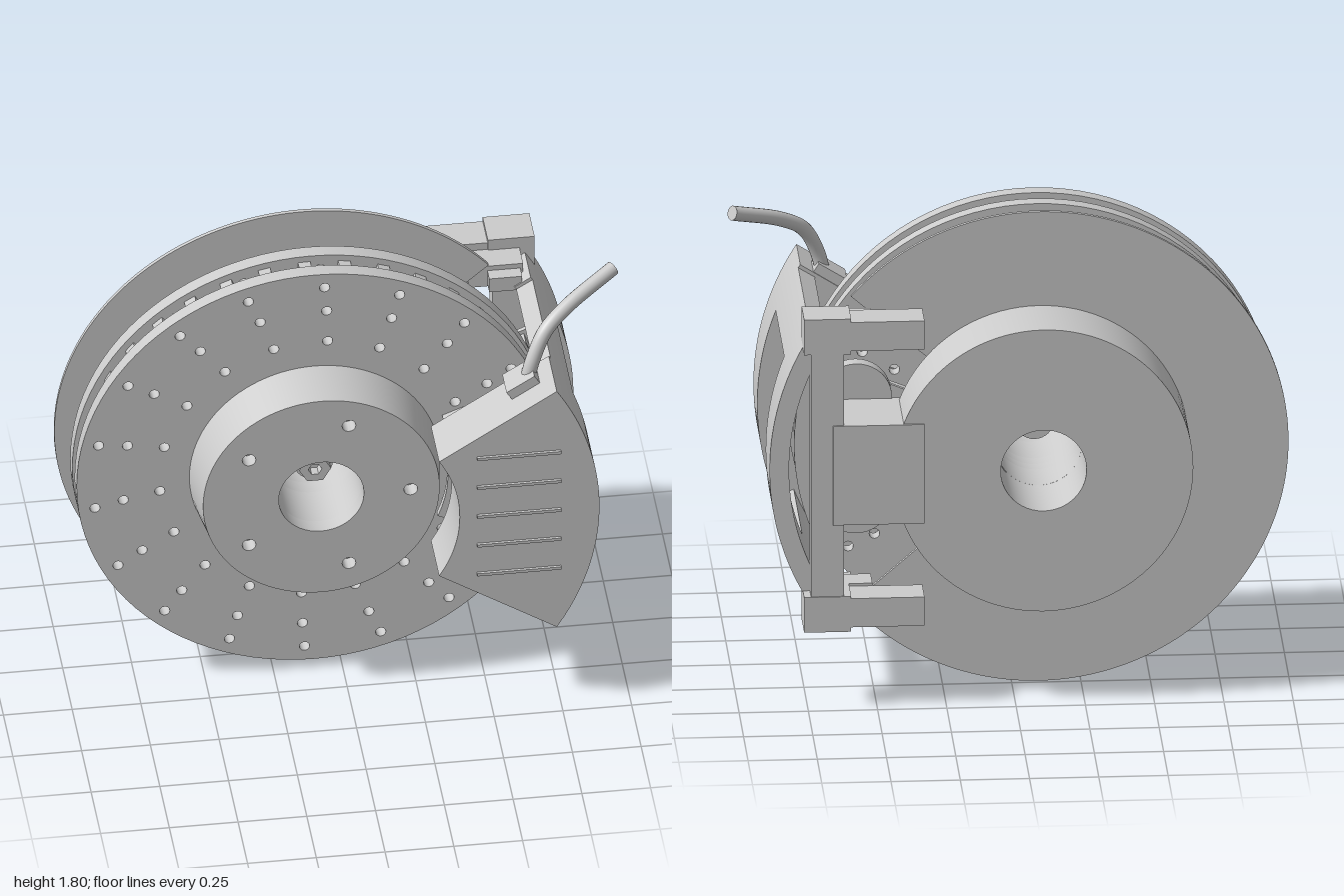
import * as THREE from 'three';
import { toCreasedNormals } from 'three/addons/utils/BufferGeometryUtils.js';

const CX = -0.1, CY = 0.9; // wheel axis
const rad = (d) => d * Math.PI / 180;
const material = new THREE.MeshStandardMaterial({ color: 0xcccccc });

export function createModel() {
  const root = new THREE.Group();
  const axle = new THREE.Group(); // everything concentric with the axis
  axle.name = 'axleParts';
  axle.position.set(CX, CY, 0);
  root.add(axle);

  const add = (parent, name, geometry) => {
    const mesh = new THREE.Mesh(geometry, material);
    mesh.name = name;
    parent.add(mesh);
    return mesh;
  };
  const box = (name, x0, x1, y0, y1, z0, z1) => {
    const m = add(root, name, new THREE.BoxGeometry(x1 - x0, y1 - y0, z1 - z0));
    m.position.set((x0 + x1) / 2, (y0 + y1) / 2, (z0 + z1) / 2);
    return m;
  };
  const extrude = (name, shape, z0, z1, segments = 48) => {
    const g = new THREE.ExtrudeGeometry(shape, { depth: z1 - z0, bevelEnabled: false, curveSegments: segments });
    g.translate(0, 0, z0);
    return add(axle, name, toCreasedNormals(g, 0.6));
  };
  const circlePath = (r, x = 0, y = 0, n = 48) => new THREE.Path(
    Array.from({ length: n }, (_, i) => {
      const a = i / n * Math.PI * 2;
      return new THREE.Vector2(x + r * Math.cos(a), y + r * Math.sin(a));
    }));
  const ringShape = (inner, outer, holes = []) => {
    const s = new THREE.Shape(circlePath(outer, 0, 0, 96).getPoints());
    s.holes.push(circlePath(inner), ...holes);
    return s;
  };
  const sectorShape = (inner, outer, a0, a1) => {
    const s = new THREE.Shape();
    s.absarc(0, 0, outer, rad(a0), rad(a1), false);
    s.absarc(0, 0, inner, rad(a1), rad(a0), true);
    s.closePath();
    return s;
  };

  // Drilled, vented disc: two plates joined by vanes
  const drilled = [];
  for (let k = 0; k < 18; k++) {
    [[0.565, 5.2], [0.7, 6.4], [0.805, 7.4]].forEach(([r, a]) => {
      const t = rad(a + k * 20);
      drilled.push(circlePath(0.019, r * Math.cos(t), r * Math.sin(t), 12));
    });
  }
  extrude('discFrontPlate', ringShape(0.4, 0.865, drilled), 0.06, 0.115);
  extrude('discRearPlate', ringShape(0.155, 0.865, drilled), -0.055, 0);
  const vane = new THREE.BoxGeometry(0.36, 0.045, 0.06);
  for (let k = 0; k < 36; k++) {
    const t = rad(k * 10 + 1.5), m = add(axle, 'discVane', vane);
    m.position.set(0.66 * Math.cos(t), 0.66 * Math.sin(t), 0.03);
    m.rotation.z = t;
  }
  extrude('discCore', ringShape(0.155, 0.48), 0, 0.06);

  // Hat: tapered wall and a face with five bolt holes
  const hat = new THREE.LatheGeometry([[0.4, 0.06], [0.455, 0.115], [0.43, 0.295], [0.42, 0.295]]
    .map(([r, z]) => new THREE.Vector2(r, z)), 96);
  hat.rotateX(Math.PI / 2);
  add(axle, 'hatWall', toCreasedNormals(hat, 0.5));
  const boltHoles = [0, 1, 2, 3, 4].map((k) => {
    const t = rad(k * 72);
    return circlePath(0.025, 0.325 * Math.cos(t), 0.325 * Math.sin(t), 20);
  });
  extrude('hatFace', ringShape(0.155, 0.43, boltHoles), 0.235, 0.295);
  extrude('hatInner', ringShape(0.155, 0.4), 0.06, 0.235);

  // Hub, drum and dust shield
  extrude('hubNeck', ringShape(0.155, 0.25), -0.22, -0.055);
  extrude('hubDrum', ringShape(0.155, 0.54), -0.49, -0.235);
  extrude('dustShield', sectorShape(0.155, 0.9, 41, 319), -0.235, -0.22, 96);

  // Centre bolt with hexagonal socket
  extrude('boltWasher', new THREE.Shape(circlePath(0.07, 0, 0, 32).getPoints()), 0.03, 0.09);
  const bolt = new THREE.Shape(circlePath(0.058, 0, 0, 6).getPoints());
  bolt.holes.push(circlePath(0.025, 0, 0, 6));
  extrude('boltHead', bolt, 0.09, 0.13);

  // Caliper: front wedge, windowed bridge, rear flange
  extrude('caliperFront', sectorShape(0.477, 0.985, -32.6, 32.6), 0.27, 0.485);
  extrude('caliperRearFlange', sectorShape(0.915, 0.985, -32.6, 32.6), -0.425, -0.205);
  extrude('caliperBridgeTop', sectorShape(0.915, 0.985, 21.2, 31.8), -0.205, 0.27, 12);
  extrude('caliperBridgeBottom', sectorShape(0.915, 0.985, -31.8, -21.2), -0.205, 0.27, 12);
  for (let k = -2; k <= 2; k++) {
    const y = CY + k * 0.13;
    box('caliperRib', 0.44, 0.745, y - 0.006, y + 0.006, 0.48, 0.495);
  }

  // Brake pads, backing plates and pistons
  extrude('outerPad', sectorShape(0.5, 0.86, -22, 22), 0.118, 0.2);
  extrude('outerPadPlate', sectorShape(0.47, 0.88, -23, 23), 0.2, 0.225);
  extrude('innerPad', sectorShape(0.5, 0.86, -22, 22), -0.15, -0.095);
  extrude('innerPadPlate', sectorShape(0.47, 0.88, -23, 23), -0.167, -0.15);
  const piston = new THREE.CylinderGeometry(0.13, 0.13, 0.055, 40);
  piston.rotateX(Math.PI / 2);
  for (const side of [-1, 1]) {
    for (const z of [-0.19, 0.248]) {
      add(root, 'piston', piston).position.set(0.56, CY + side * 0.195, z);
    }
  }

  // Rear bracket: upright, mirrored arms and a middle plate
  box('bracketUpright', 0.62, 0.74, 0.4, 1.4, -0.49, -0.42);
  const mirrored = (name, x0, x1, d0, d1, z0, z1) => {
    box(name, x0, x1, CY + d0, CY + d1, z0, z1);
    box(name, x0, x1, CY - d1, CY - d0, z0, z1);
  };
  mirrored('bracketArm', 0.33, 0.6, 0.475, 0.585, -0.49, -0.36);
  mirrored('bracketCorner', 0.595, 0.765, 0.465, 0.6, -0.495, -0.355);
  mirrored('bracketPin', 0.51, 0.71, 0.465, 0.555, -0.36, -0.26);
  mirrored('bracketPinTip', 0.58, 0.7, 0.475, 0.535, -0.26, -0.21);
  box('bracketPlate', 0.33, 0.66, 0.71, 1.09, -0.497, -0.21);

  // Brake hose and its fitting
  const fitting = box('hoseFitting', 0.57, 0.69, 1.335, 1.405, 0.275, 0.385);
  fitting.rotation.z = rad(32);
  const path = new THREE.CatmullRomCurve3([
    [0.64, 1.36, 0.33], [0.665, 1.46, 0.322], [0.715, 1.56, 0.29], [0.8, 1.62, 0.235], [0.985, 1.69, 0.12],
  ].map((p) => new THREE.Vector3(...p)));
  add(root, 'brakeHose', new THREE.TubeGeometry(path, 40, 0.027, 16));
  const cap = add(root, 'hoseEnd', new THREE.CircleGeometry(0.027, 16));
  cap.position.copy(path.getPoint(1));
  cap.lookAt(path.getPoint(1).add(path.getTangent(1)));

  return root;
}
